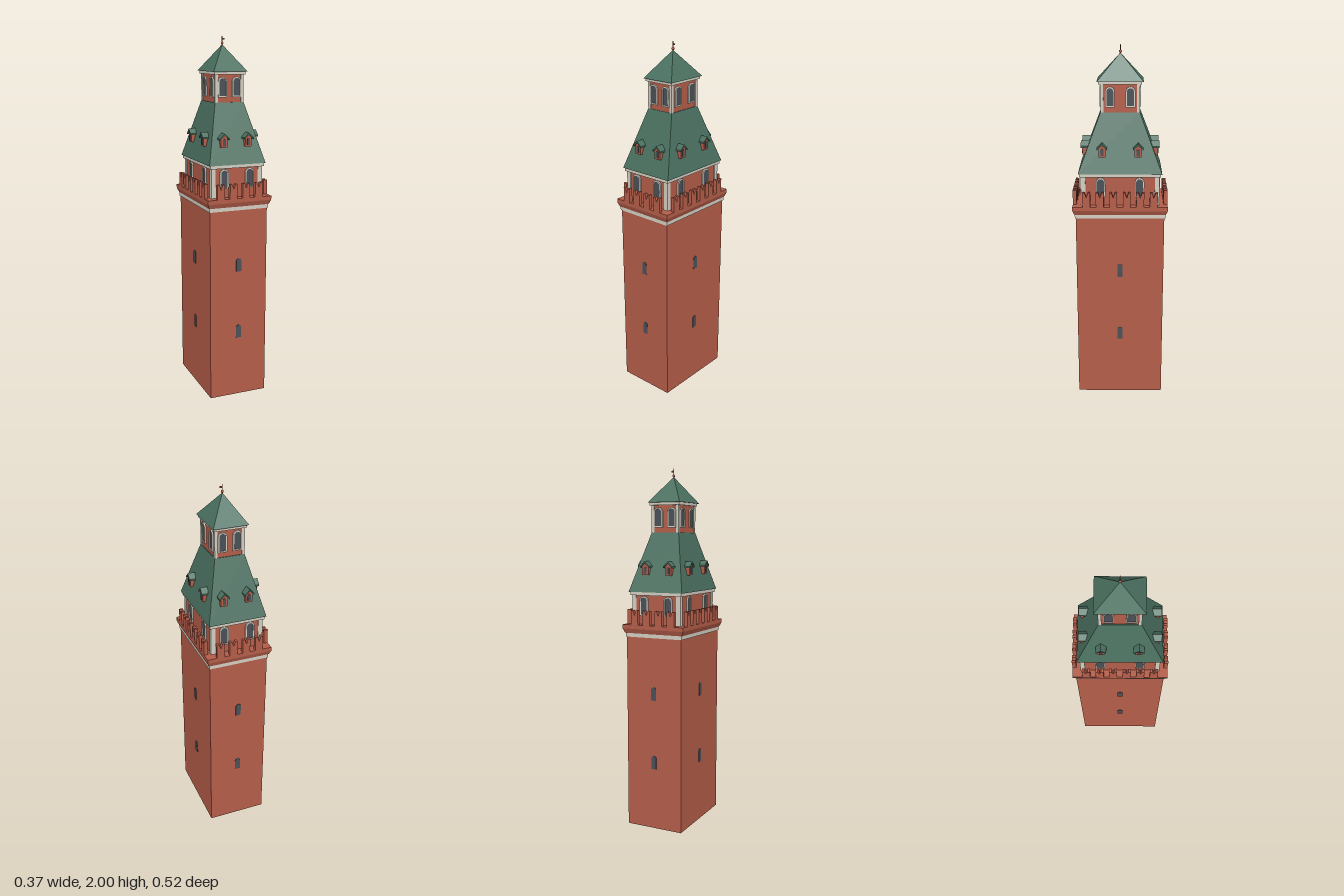
import * as THREE from 'three';

const mat = (name, color, side = THREE.FrontSide) => {
  const m = new THREE.MeshStandardMaterial({ color, side });
  m.name = name;
  return m;
};

export function createModel() {
  const root = new THREE.Group();
  root.name = 'tower';
  const brick = mat('brick red', 0xb45d49, THREE.DoubleSide);
  const green = mat('roof green', 0x4a7060, THREE.DoubleSide);
  const stone = mat('pale stone', 0xd3cec2);
  const slate = mat('window slate', 0x4a5058);
  const dark = mat('finial dark red', 0x7d3a2e);

  const add = (parent, name, geo, material, x = 0, y = 0, z = 0) => {
    const m = new THREE.Mesh(geo, material);
    m.name = name;
    m.position.set(x, y, z);
    parent.add(m);
    return m;
  };

  // Rectangular block tapering from half sizes (ax, az) at y0 to (bx, bz) at y1
  const taper = (name, material, y0, y1, ax, az, bx = ax, bz = az, openBottom = false) => {
    const g = new THREE.BoxGeometry(2, y1 - y0, 2);
    const p = g.attributes.position;
    for (let i = 0; i < p.count; i++) {
      const top = p.getY(i) > 0;
      p.setX(i, p.getX(i) * (top ? bx : ax));
      p.setZ(i, p.getZ(i) * (top ? bz : az));
    }
    if (openBottom) {
      const idx = Array.from(g.index.array);
      idx.splice(18, 6);
      g.setIndex(idx);
      g.clearGroups();
    }
    g.computeVertexNormals();
    return add(root, name, g, material, 0, (y0 + y1) / 2, 0);
  };

  // Runs build(group, distance to wall, isFrontOrBack) for all four sides; +z points outward
  const sides = (name, hx, hz, build) => {
    for (let k = 0; k < 4; k++) {
      const g = new THREE.Group();
      g.name = name;
      g.rotation.y = k * Math.PI / 2;
      root.add(g);
      build(g, k % 2 ? hx : hz, k % 2 === 0);
    }
  };

  const polygon = pts => new THREE.Shape(pts.map(([x, y]) => new THREE.Vector2(x, y)));
  const extrude = (shape, depth, curveSegments = 8) =>
    new THREE.ExtrudeGeometry(shape, { depth, bevelEnabled: false, curveSegments });

  // Round-headed outline standing on y = base
  const arch = (w, h, base = 0) => {
    const r = w / 2, s = new THREE.Shape();
    s.moveTo(-r, base);
    s.lineTo(r, base);
    s.lineTo(r, base + h - r);
    s.absarc(0, base + h - r, r, 0, Math.PI, false);
    s.closePath();
    return s;
  };

  const frameShape = arch(0.051, 0.108);
  frameShape.holes.push(arch(0.037, 0.094, 0.007));
  const frameGeo = extrude(frameShape, 0.008);
  const paneGeo = extrude(arch(0.037, 0.094, 0.007), 0.004);
  const archWindow = (parent, x, y, z) => {
    add(parent, 'windowFrame', frameGeo, stone, x, y, z);
    add(parent, 'windowPane', paneGeo, slate, x, y, z);
  };

  const cornerPosts = (hx, hz, y0, y1, w) => {
    for (const sx of [-1, 1]) for (const sz of [-1, 1])
      add(root, 'cornerPost', new THREE.BoxGeometry(w, y1 - y0, w), stone,
        sx * (hx - w / 2), (y0 + y1) / 2, sz * (hz - w / 2));
  };

  // Main shaft, open underneath, with narrow slit windows
  taper('shaft', brick, 0, 1.09, 0.167, 0.243, 0.167, 0.243, true);
  const slitGeo = extrude(arch(0.03, 0.075), 0.003, 4);
  sides('slitWindows', 0.167, 0.243, (g, d) => {
    for (const y of [0.345, 0.735]) add(g, 'slitWindow', slitGeo, slate, 0, y, d);
  });

  // Stone string course, flared cornice and parapet floor
  taper('stringCourse', stone, 1.082, 1.103, 0.172, 0.248);
  taper('cornice', brick, 1.103, 1.128, 0.174, 0.25, 0.185, 0.26);
  taper('parapetBase', brick, 1.128, 1.15, 0.185, 0.26);

  // Swallowtail battlements
  const merlonGeo = extrude(polygon([[-0.0215, 0], [0.0215, 0], [0.0215, 0.08],
    [0.009, 0.08], [0, 0.052], [-0.009, 0.08], [-0.0215, 0.08]]), 0.021);
  sides('battlements', 0.185, 0.26, (g, d, front) => {
    const n = front ? 4 : 6;
    for (let i = 0; i < n; i++)
      add(g, 'merlon', merlonGeo, brick, (i - (n - 1) / 2) * 0.0733, 1.15, d - 0.021);
  });

  // Middle storey
  taper('middleStorey', brick, 1.15, 1.315, 0.144, 0.21);
  cornerPosts(0.148, 0.214, 1.15, 1.315, 0.025);
  taper('middleCornice', stone, 1.31, 1.329, 0.156, 0.222);
  sides('middleWindows', 0.144, 0.21, (g, d, front) => {
    for (const s of [-1, 1]) archWindow(g, s * (front ? 0.074 : 0.106), 1.198, d);
  });

  // Steep lower roof
  taper('lowerRoof', green, 1.328, 1.65, 0.163, 0.228, 0.083, 0.106);

  // Gabled dormers, two on each slope
  const dormerBody = extrude(polygon([[-0.019, 0], [0.019, 0], [0.019, 0.048],
    [0, 0.068], [-0.019, 0.048]]), 0.055);
  const dormerRoof = extrude(polygon([[-0.0275, 0.04], [-0.0275, 0.049], [0, 0.075],
    [0.0275, 0.049], [0.0275, 0.04], [0, 0.066]]), 0.062);
  const dormerPane = extrude(arch(0.017, 0.038), 0.003);
  sides('dormers', 0.163, 0.214, (g, d, front) => {
    for (const s of [-1, 1]) {
      const x = s * (front ? 0.07 : 0.097);
      add(g, 'dormerBody', dormerBody, brick, x, 1.42, d - 0.063);
      add(g, 'dormerRoof', dormerRoof, green, x, 1.42, d - 0.062);
      add(g, 'dormerPane', dormerPane, slate, x, 1.428, d - 0.008);
    }
  });

  // Lantern storey
  taper('lantern', brick, 1.64, 1.805, 0.079, 0.102);
  cornerPosts(0.083, 0.106, 1.64, 1.805, 0.016);
  taper('lanternCornice', stone, 1.798, 1.814, 0.09, 0.116);
  sides('lanternWindows', 0.079, 0.102, (g, d, front) => {
    for (const s of [-1, 1]) archWindow(g, s * (front ? 0.041 : 0.055), 1.678, d);
  });

  // Pyramid roof and finial with a small vane
  taper('upperRoof', green, 1.813, 1.955, 0.098, 0.125, 0, 0);
  add(root, 'finialPole', new THREE.CylinderGeometry(0.002, 0.003, 0.05, 8), dark, 0, 1.975, 0);
  add(root, 'finialBall', new THREE.SphereGeometry(0.008, 8, 6), brick, 0, 1.962, 0);
  add(root, 'vane', new THREE.BoxGeometry(0.016, 0.009, 0.002), dark, 0.006, 1.985, 0);
  return root;
}
